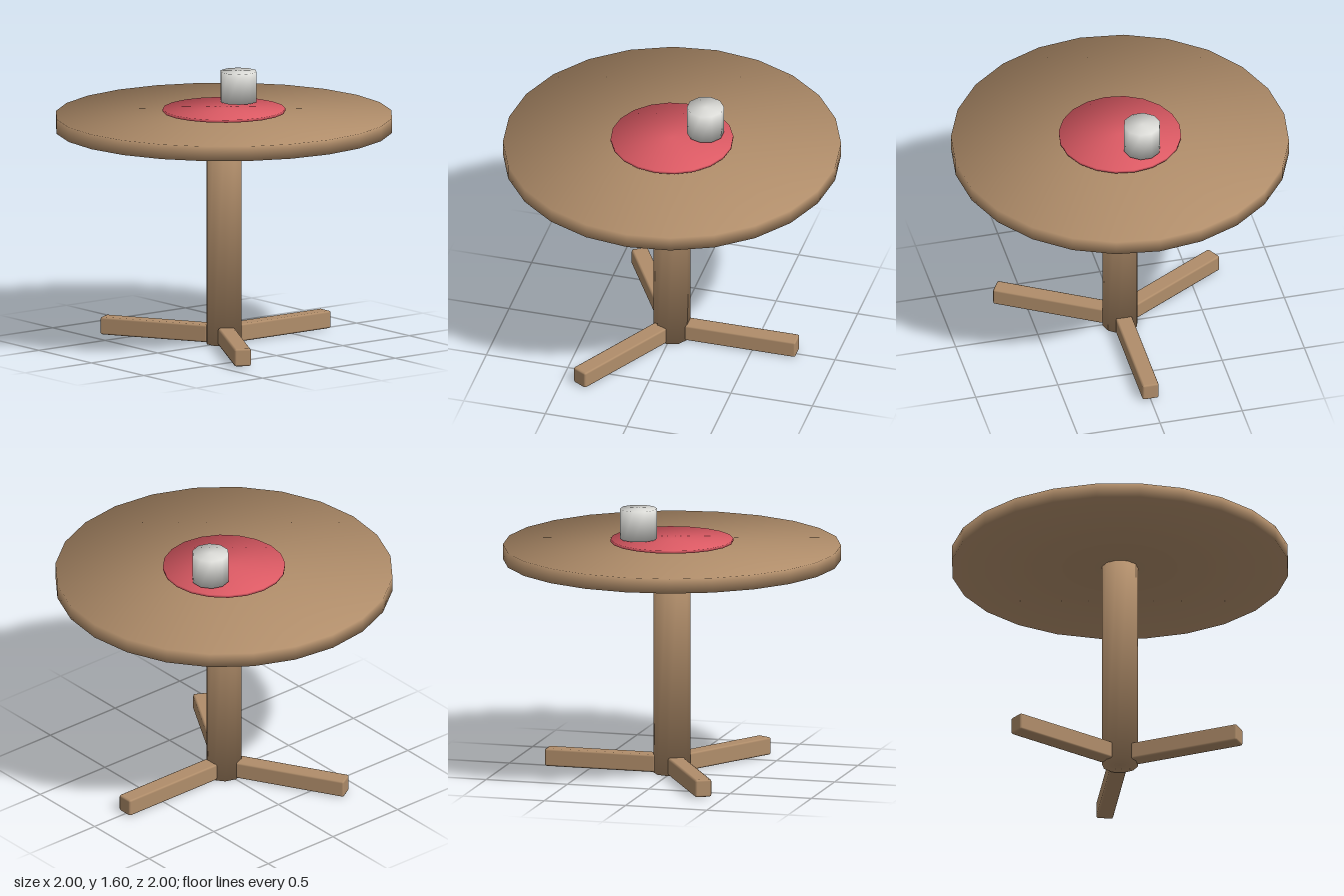
import * as THREE from 'three';
import { RoundedBoxGeometry } from 'three/addons/geometries/RoundedBoxGeometry.js';

const material = (name, color) => {
  const m = new THREE.MeshStandardMaterial({ color });
  m.name = name;
  return m;
};

// Closed faceted cylinder from y0 to y1, with normals blended softly over its rims
function softCylinder(name, radius, y0, y1, sides, mat) {
  const geometry = new THREE.CylinderGeometry(radius, radius, y1 - y0, sides);
  const { position, normal } = geometry.attributes;
  for (let i = 0; i < position.count; i++) {
    normal.setXYZ(
      i,
      (position.getX(i) / radius) * Math.SQRT1_2,
      Math.sign(position.getY(i)) * Math.SQRT1_2,
      (position.getZ(i) / radius) * Math.SQRT1_2
    );
  }
  const mesh = new THREE.Mesh(geometry, mat);
  mesh.name = name;
  mesh.position.y = (y0 + y1) / 2;
  return mesh;
}

export function createModel() {
  const wood = material('wood', 0xb08d6a);
  const red = material('red cloth', 0xdc5a64);
  const white = material('white ceramic', 0xdcdcd8);

  const table = new THREE.Group();
  table.name = 'table';

  // Round top on a central column
  table.add(softCylinder('tabletop', 1, 1.287, 1.375, 24, wood));
  table.add(softCylinder('column', 0.108, 0, 1.29, 10, wood));

  // Three bevelled feet spread evenly around the column
  const footGeometry = new RoundedBoxGeometry(0.68, 0.105, 0.1, 1, 0.012);
  footGeometry.translate(0.43, 0.0575, 0);
  for (let i = 0; i < 3; i++) {
    const foot = new THREE.Mesh(footGeometry, wood);
    foot.name = `foot${i + 1}`;
    foot.rotation.y = (i * Math.PI * 2) / 3;
    table.add(foot);
  }

  // Place mat and cup, hovering just above the top
  table.add(softCylinder('placeMat', 0.363, 1.396, 1.412, 20, red));
  const cup = softCylinder('cup', 0.11, 1.42, 1.602, 10, white);
  cup.position.x = 0.18;
  cup.position.z = -0.09;
  table.add(cup);

  return table;
}
